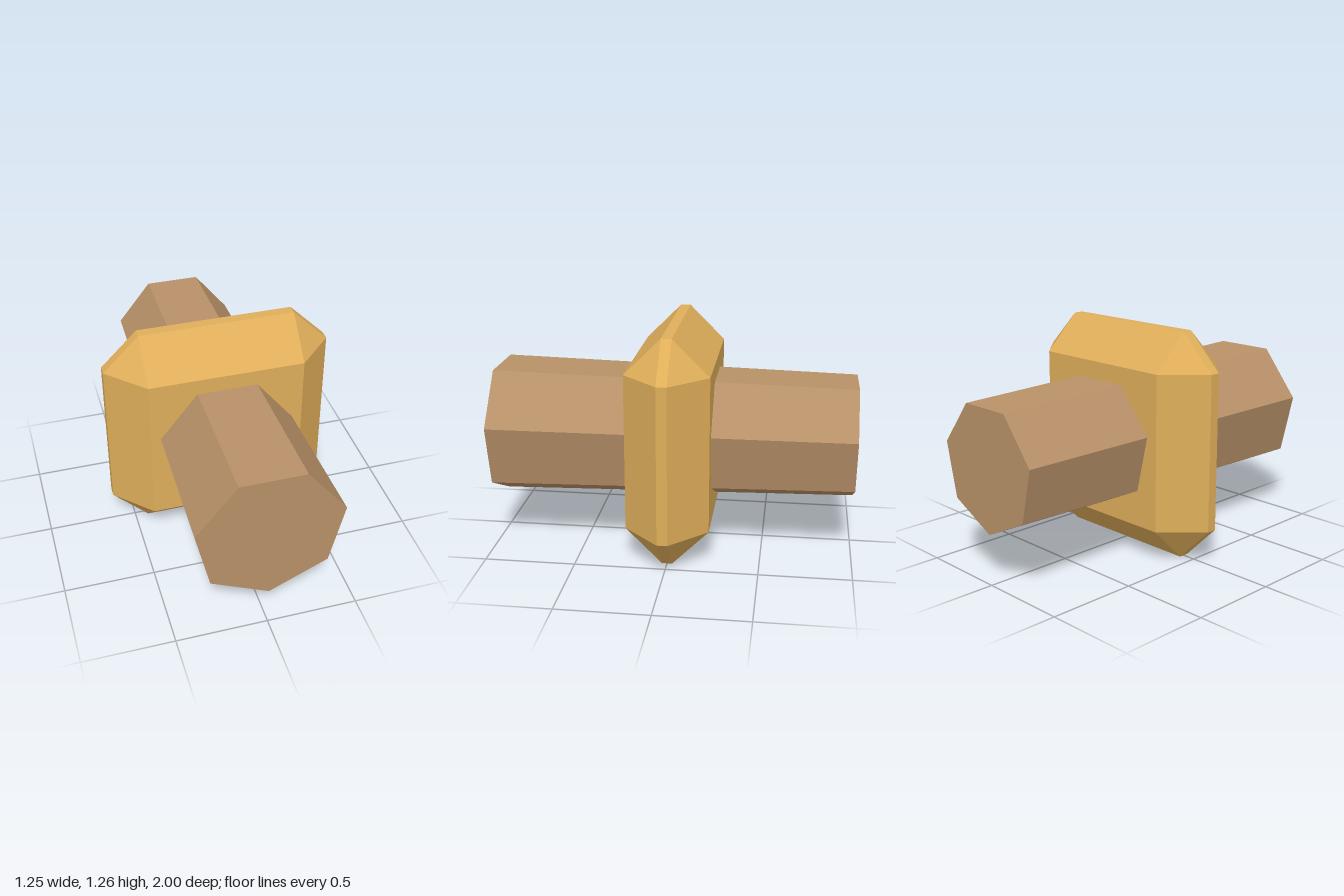
import * as THREE from 'three';
import { ConvexGeometry } from 'three/addons/geometries/ConvexGeometry.js';

// Box with every edge cut at 45 degrees
function chamferedBox(hx, hy, hz, cut) {
  const points = [];
  for (const sx of [-1, 1]) for (const sy of [-1, 1]) for (const sz of [-1, 1]) {
    points.push(
      new THREE.Vector3(sx * hx, sy * (hy - cut), sz * (hz - cut)),
      new THREE.Vector3(sx * (hx - cut), sy * hy, sz * (hz - cut)),
      new THREE.Vector3(sx * (hx - cut), sy * (hy - cut), sz * hz));
  }
  return new ConvexGeometry(points);
}

export function createModel() {
  const model = new THREE.Group();
  model.name = 'collaredShaft';
  const centreY = 0.63;

  const gold = new THREE.MeshStandardMaterial({ color: 0xdfae5a, flatShading: true });
  gold.name = 'gold';
  const wood = new THREE.MeshStandardMaterial({ color: 0xb89168, flatShading: true });
  wood.name = 'wood';

  // Bevelled collar block
  const collar = new THREE.Mesh(chamferedBox(0.625, 0.63, 0.227, 0.199), gold);
  collar.name = 'collar';

  // Seven-sided shaft, slightly narrower towards the back
  const shaftGeometry = new THREE.CylinderGeometry(0.4, 0.351, 2, 7).rotateX(Math.PI / 2);
  const shaft = new THREE.Mesh(shaftGeometry, wood);
  shaft.name = 'shaft';

  for (const part of [collar, shaft]) {
    part.position.y = centreY;
    model.add(part);
  }
  return model;
}
